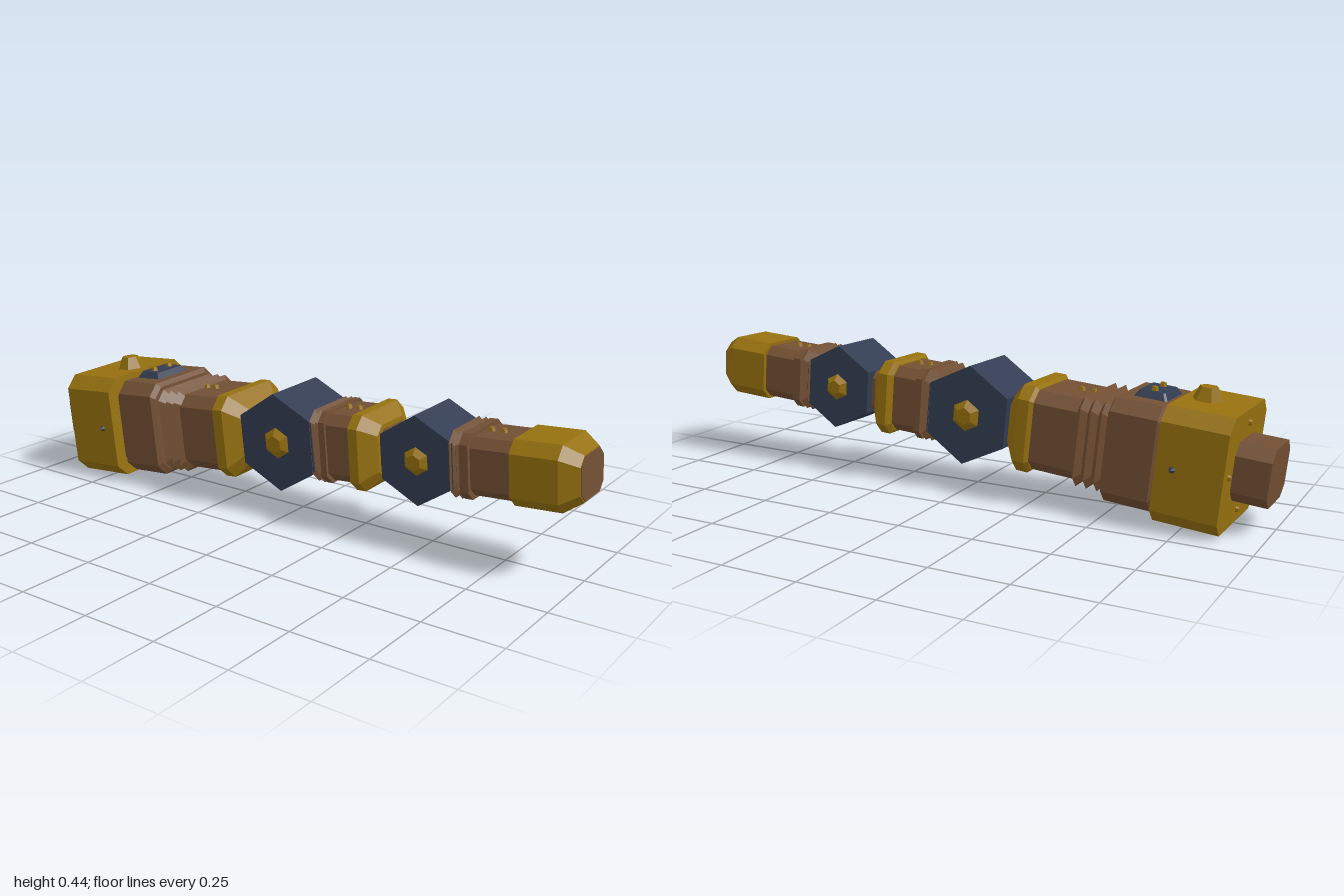
import * as THREE from 'three';

const material = (name, color) => {
  const m = new THREE.MeshStandardMaterial({ color, flatShading: true });
  m.name = name;
  return m;
};

// Solid lofted along z through chamfered rectangles: [z, halfWidth, halfHeight, chamfer]
function loft(sections) {
  const rings = sections.map(([z, w, h, c]) => [
    [w, -h + c], [w, h - c], [w - c, h], [-w + c, h],
    [-w, h - c], [-w, -h + c], [-w + c, -h], [w - c, -h],
  ].map(([x, y]) => [x, y, z]));
  const pos = [];
  const tri = (a, b, c) => pos.push(...a, ...b, ...c);
  for (let i = 0; i < rings.length - 1; i++) {
    for (let j = 0; j < 8; j++) {
      const k = (j + 1) % 8;
      const [a, b, c, d] = [rings[i][j], rings[i][k], rings[i + 1][k], rings[i + 1][j]];
      tri(a, b, c);
      tri(a, c, d);
    }
  }
  const first = rings[0], last = rings[rings.length - 1];
  for (let j = 1; j < 7; j++) {
    tri(last[0], last[j], last[j + 1]);
    tri(first[0], first[j + 1], first[j]);
  }
  const g = new THREE.BufferGeometry();
  g.setAttribute('position', new THREE.Float32BufferAttribute(pos, 3));
  g.computeVertexNormals();
  return g;
}

export function createModel() {
  const yellow = material('ochre', 0x96710f);
  const brown = material('brown', 0x724f33);
  const navy = material('navy', 0x323c52);
  const model = new THREE.Group();
  model.name = 'jointedFinger';

  const add = (parent, name, geometry, mat, x = 0, y = 0, z = 0) => {
    const mesh = new THREE.Mesh(geometry, mat);
    mesh.name = name;
    mesh.position.set(x, y, z);
    parent.add(mesh);
    return mesh;
  };

  // Segment tilted about its pivot; children use overall z, with y measured from the axis
  const segment = (name, y, z, tilt) => {
    const outer = new THREE.Group();
    outer.name = name;
    outer.position.set(0, y, z);
    outer.rotation.set(-tilt, 0, 0.022);
    const inner = new THREE.Group();
    inner.name = name + 'Parts';
    inner.position.z = -z;
    outer.add(inner);
    model.add(outer);
    return inner;
  };

  // Sharp-edged rib
  const rib = (parent, z, w, h, t = 0.015) => add(parent, 'rib', loft([
    [z - t, w - 0.022, h - 0.022, 0.025], [z, w, h, 0.032], [z + t, w - 0.022, h - 0.022, 0.025],
  ]), brown);

  // Two small studs on top of a segment body
  const studs = (parent, h, zs) => zs.forEach((z) =>
    add(parent, 'stud', new THREE.CylinderGeometry(0.008, 0.013, 0.016, 6), yellow, 0, h + 0.004, z));

  // Hexagonal joint with tapered caps on both sides
  const knuckle = (parent, z, radius, halfWidth, capRadius) => {
    add(parent, 'knuckle', new THREE.CylinderGeometry(radius, radius, halfWidth * 2, 6)
      .rotateY(Math.PI / 6).rotateZ(Math.PI / 2), navy, 0, 0, z);
    for (const s of [-1, 1]) {
      add(parent, 'knuckleCap', new THREE.CylinderGeometry(capRadius * 0.55, capRadius, 0.018, 6)
        .rotateY(Math.PI / 6).rotateZ(-s * Math.PI / 2), yellow, s * (halfWidth + 0.009), 0, z);
    }
  };

  // Base segment
  const base = segment('baseSegment', 0.257, -0.02, 0.086);
  add(base, 'mountStub', loft([[-1, 0.104, 0.09, 0.035], [-0.86, 0.104, 0.09, 0.035]]), brown);
  add(base, 'baseBlock', loft([[-0.892, 0.196, 0.177, 0.042], [-0.688, 0.196, 0.177, 0.042]]), yellow);
  add(base, 'topBolt', new THREE.CylinderGeometry(0.029, 0.047, 0.042, 6), yellow, 0, 0.197, -0.76);
  for (const [x, y, turn] of [[0.202, 0, -Math.PI / 2], [-0.202, 0, Math.PI / 2], [0, -0.183, Math.PI]]) {
    add(base, 'blockSpike', new THREE.ConeGeometry(0.012, 0.016, 6), navy, x, y, -0.74).rotation.z = turn;
  }
  for (const [x, y] of [[0.15, 0], [-0.15, 0], [0, 0.135], [0, -0.135]]) {
    add(base, 'rearStud', new THREE.CylinderGeometry(0.007, 0.011, 0.014, 6)
      .rotateX(-Math.PI / 2), yellow, x, y, -0.895);
  }
  add(base, 'baseFlange', loft([[-0.7, 0.152, 0.145, 0.035], [-0.665, 0.152, 0.145, 0.035]]), brown);
  add(base, 'baseHousing', loft([
    [-0.678, 0.155, 0.15, 0.035], [-0.668, 0.166, 0.163, 0.038], [-0.52, 0.166, 0.163, 0.038],
    [-0.51, 0.15, 0.148, 0.035],
  ]), brown);
  const plate = add(base, 'topPlate', loft([[0, 0.075, 0.054, 0.006], [0.022, 0.06, 0.04, 0.006]]),
    navy, 0, 0.161, -0.607);
  plate.rotation.x = -Math.PI / 2;
  for (const x of [-0.037, 0.037]) {
    add(base, 'plateStud', new THREE.CylinderGeometry(0.009, 0.013, 0.014, 6), yellow, x, 0.188, -0.607);
  }
  add(base, 'baseCore', loft([[-0.53, 0.132, 0.12, 0.03], [-0.41, 0.132, 0.12, 0.03]]), brown);
  for (const z of [-0.492, -0.457, -0.422]) rib(base, z, 0.155, 0.143, 0.017);
  add(base, 'baseBody', loft([[-0.412, 0.14, 0.128, 0.035], [-0.24, 0.14, 0.128, 0.035]]), brown);
  add(base, 'baseCollar', loft([
    [-0.262, 0.143, 0.13, 0.035], [-0.252, 0.155, 0.14, 0.04], [-0.213, 0.155, 0.14, 0.04],
    [-0.165, 0.1, 0.088, 0.03],
  ]), yellow);
  add(base, 'baseNeck', loft([[-0.2, 0.085, 0.075, 0.025], [-0.1, 0.085, 0.075, 0.025]]), brown);
  knuckle(base, -0.02, 0.163, 0.12, 0.052);

  // Middle segment
  const middle = segment('middleSegment', 0.257, -0.02, 0.07);
  add(middle, 'middleCore', loft([[0.06, 0.1, 0.09, 0.025], [0.17, 0.1, 0.095, 0.025]]), brown);
  rib(middle, 0.117, 0.121, 0.118, 0.013);
  rib(middle, 0.14, 0.121, 0.12, 0.013);
  add(middle, 'middleFlange', loft([[0.15, 0.12, 0.118, 0.03], [0.172, 0.12, 0.118, 0.03]]), brown);
  add(middle, 'middleBody', loft([[0.165, 0.111, 0.109, 0.03], [0.28, 0.111, 0.109, 0.03]]), brown);
  studs(middle, 0.109, [0.19, 0.23]);
  add(middle, 'middleCollar', loft([
    [0.262, 0.115, 0.112, 0.03], [0.272, 0.138, 0.122, 0.036], [0.305, 0.138, 0.122, 0.036],
    [0.348, 0.088, 0.085, 0.028],
  ]), yellow);
  add(middle, 'middleNeck', loft([[0.32, 0.075, 0.07, 0.022], [0.42, 0.075, 0.07, 0.022]]), brown);

  // Tip segment
  const tip = segment('tipSegment', 0.294, 0.49, 0.068);
  knuckle(tip, 0.49, 0.142, 0.105, 0.045);
  add(tip, 'tipCore', loft([[0.55, 0.088, 0.08, 0.025], [0.66, 0.092, 0.085, 0.025]]), brown);
  rib(tip, 0.607, 0.112, 0.105, 0.013);
  rib(tip, 0.63, 0.112, 0.105, 0.013);
  add(tip, 'tipFlange', loft([[0.64, 0.113, 0.101, 0.028], [0.668, 0.113, 0.101, 0.028]]), brown);
  add(tip, 'tipBody', loft([[0.66, 0.1, 0.09, 0.028], [0.82, 0.1, 0.09, 0.028]]), brown);
  studs(tip, 0.09, [0.69, 0.73]);
  add(tip, 'fingertip', loft([
    [0.798, 0.113, 0.1, 0.035], [0.945, 0.113, 0.1, 0.035], [0.997, 0.08, 0.069, 0.028],
  ]), yellow);
  add(tip, 'fingertipPad', loft([[0.994, 0.077, 0.066, 0.027], [1, 0.077, 0.066, 0.027]]), brown);

  studs(base, 0.128, [-0.4, -0.36]);
  return model;
}
